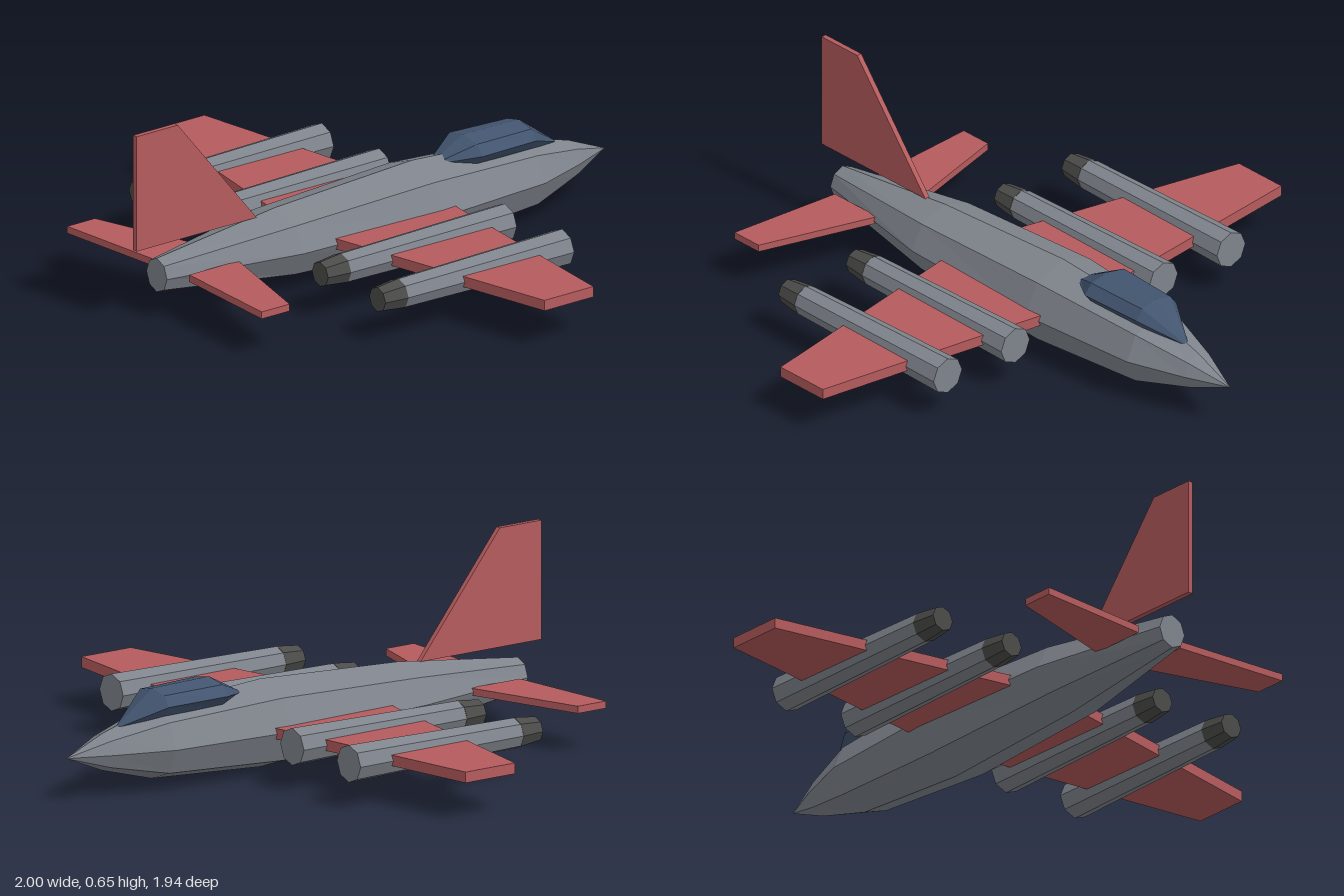
import * as THREE from 'three';

const gray = new THREE.MeshStandardMaterial({ color: 0x7f848c });
gray.name = 'hull gray';
const red = new THREE.MeshStandardMaterial({ color: 0xb55b5d });
red.name = 'wing red';
const blue = new THREE.MeshStandardMaterial({ color: 0x42546f });
blue.name = 'canopy blue';
const dark = new THREE.MeshStandardMaterial({ color: 0x4b4b4a });
dark.name = 'exhaust dark';

const SIDES = 8;
const AXIS = 0.15; // height of the fuselage centre line

// Faceted loft along z; each section is [z, centreY, radiusX, radiusY]
function loft(sections) {
  const pos = [];
  const point = ([z, cy, rx, ry], i) => {
    const a = (i / SIDES) * Math.PI * 2;
    return [rx * Math.sin(a), cy + ry * Math.cos(a), z];
  };
  const tri = (a, b, c) => pos.push(...a, ...b, ...c);
  const first = sections[0];
  const last = sections[sections.length - 1];
  for (let i = 0; i < SIDES; i++) {
    for (let s = 0; s < sections.length - 1; s++) {
      const a0 = point(sections[s], i), a1 = point(sections[s], i + 1);
      const b0 = point(sections[s + 1], i), b1 = point(sections[s + 1], i + 1);
      if (sections[s][2] > 0) tri(a0, b0, a1);
      tri(a1, b0, b1);
    }
    if (first[2] > 0) tri([0, first[1], first[0]], point(first, i), point(first, i + 1));
    tri([0, last[1], last[0]], point(last, i + 1), point(last, i));
  }
  const geo = new THREE.BufferGeometry();
  geo.setAttribute('position', new THREE.Float32BufferAttribute(pos, 3));
  geo.computeVertexNormals();
  return geo;
}

// Plate of given thickness, centred on its own plane
function plate(points, thickness) {
  const shape = new THREE.Shape(points.map(([x, y]) => new THREE.Vector2(x, y)));
  const geo = new THREE.ExtrudeGeometry(shape, { depth: thickness, bevelEnabled: false });
  return geo.translate(0, 0, -thickness / 2);
}

// Horizontal plate from [x, z] outline points
function flatPanel(points, thickness) {
  return plate(points, thickness).rotateX(Math.PI / 2).translate(0, 0.151, 0);
}

export function createModel() {
  const model = new THREE.Group();
  model.name = 'jetPlane';
  const add = (name, geo, mat, parent = model) => {
    const mesh = new THREE.Mesh(geo, mat);
    mesh.name = name;
    parent.add(mesh);
    return mesh;
  };

  // Fuselage, nose towards -z
  add('fuselage', loft([
    [-0.97, AXIS, 0, 0],
    [-0.82, AXIS, 0.064, 0.062],
    [-0.62, AXIS, 0.132, 0.118],
    [-0.175, AXIS, 0.165, 0.146],
    [0.39, AXIS, 0.146, 0.117],
    [0.88, AXIS, 0.053, 0.058],
  ]), gray);

  // Canopy
  add('canopy', loft([
    [-0.775, 0.217, 0, 0],
    [-0.617, 0.283, 0.088, 0.048],
    [-0.385, 0.287, 0.1, 0.048],
    [-0.28, 0.271, 0.032, 0.008],
  ]), blue);

  // Tail fin, drawn as [-z, y]
  add('tailFin', plate([[-0.97, 0.255], [-0.475, 0.255], [-0.8, 0.65], [-0.97, 0.65]], 0.018)
    .rotateY(Math.PI / 2), red);

  // Wings, tailplanes and engines on both sides
  for (const [label, s] of [['left', 1], ['right', -1]]) {
    add(label + 'Wing', flatPanel(
      [[0, -0.252], [s, -0.12], [s, 0.082], [0, 0.283]], 0.036), red);
    add(label + 'Tailplane', flatPanel(
      [[s * 0.09, 0.615], [s * 0.5, 0.733], [s * 0.5, 0.848], [s * 0.09, 0.818]], 0.024), red);

    for (const [place, x] of [['Inner', 0.323], ['Outer', 0.618]]) {
      const engine = new THREE.Group();
      engine.name = label + place + 'Engine';
      engine.position.x = s * x;
      add('nacelle', loft([
        [-0.298, AXIS, 0.062, 0.062],
        [0.378, AXIS, 0.051, 0.051],
      ]), gray, engine);
      add('exhaust', loft([
        [0.378, AXIS, 0.052, 0.052],
        [0.465, AXIS, 0.042, 0.042],
      ]), dark, engine);
      model.add(engine);
    }
  }
  return model;
}
